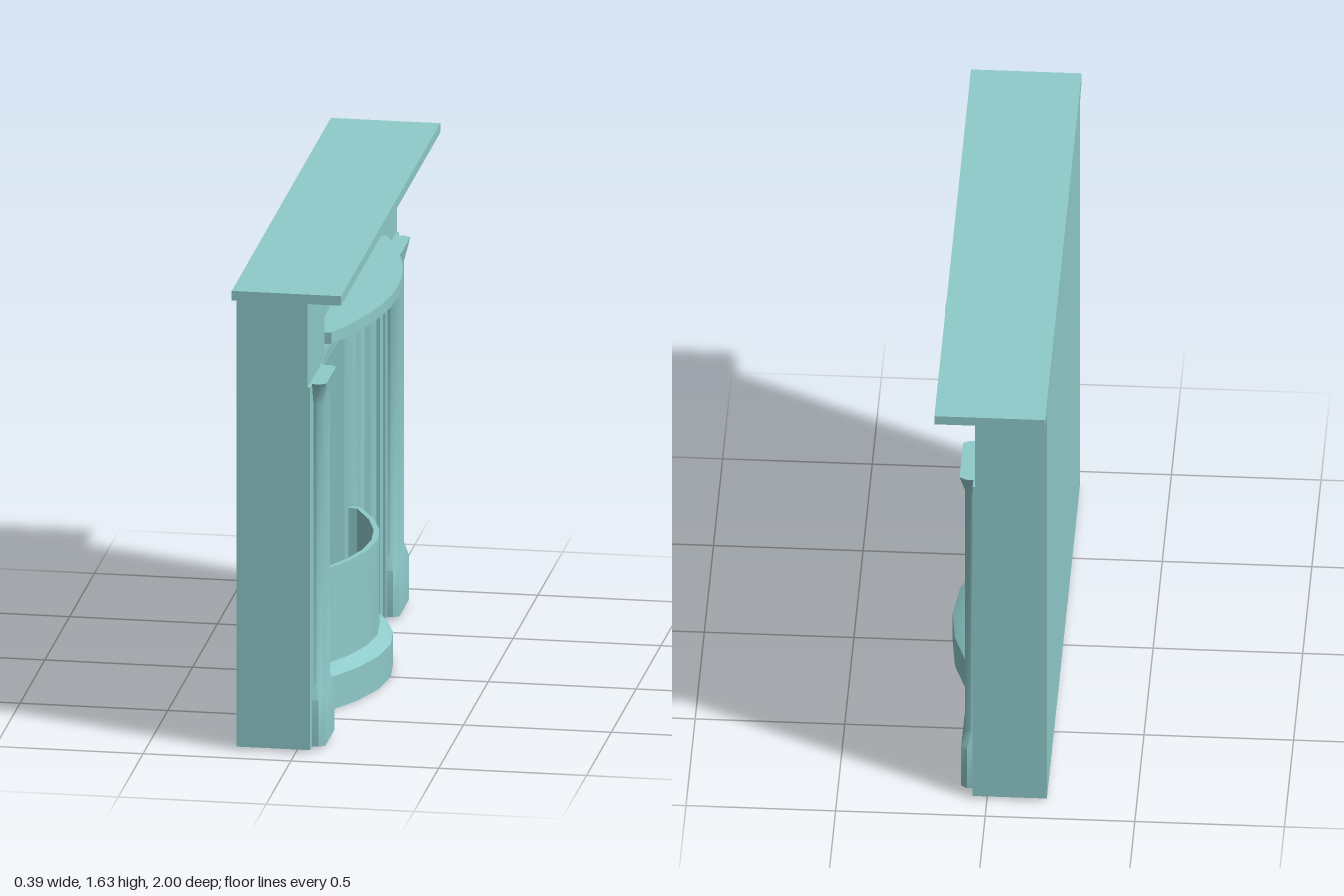
import * as THREE from 'three';
import { toCreasedNormals } from 'three/addons/utils/BufferGeometryUtils.js';

const material = new THREE.MeshStandardMaterial({ color: 0x8fcaca, side: THREE.DoubleSide });

function add(group, name, geometry) {
  const mesh = new THREE.Mesh(geometry, material);
  mesh.name = name;
  group.add(mesh);
  return mesh;
}

// Skin a stack of equally long point rows; closed rows are also capped.
function loft(rows, closed) {
  const pos = [];
  const tri = (a, b, c) => pos.push(...a, ...b, ...c);
  const n = rows[0].length;
  for (let r = 0; r < rows.length - 1; r++) {
    const a = rows[r], b = rows[r + 1];
    for (let i = 0; i < (closed ? n : n - 1); i++) {
      const j = (i + 1) % n;
      tri(a[i], a[j], b[j]);
      tri(a[i], b[j], b[i]);
    }
  }
  if (closed) {
    const bottom = rows[0], top = rows[rows.length - 1];
    for (let i = 1; i < n - 1; i++) {
      tri(bottom[0], bottom[i + 1], bottom[i]);
      tri(top[0], top[i], top[i + 1]);
    }
  }
  const g = new THREE.BufferGeometry();
  g.setAttribute('position', new THREE.Float32BufferAttribute(pos, 3));
  return toCreasedNormals(g, 0.6);
}

function box(x0, x1, y0, y1, z0, z1) {
  return new THREE.BoxGeometry(x1 - x0, y1 - y0, z1 - z0)
    .translate((x0 + x1) / 2, (y0 + y1) / 2, (z0 + z1) / 2);
}

// Mitred moulding round an arch: levels of [half width, top, depth], outside first.
function archFrame(levels, bottom) {
  return loft(levels.map(([u, top, z]) =>
    [[u, bottom, z], [u, top, z], [-u, top, z], [-u, bottom, z]]), false);
}

// Bowed row of points between -half and +half, as a parabola.
function bow(half, y, front, curve, segments) {
  return Array.from({ length: segments + 1 }, (_, i) => {
    const x = -half + (2 * half * i) / segments;
    return [x, y, front - curve * x * x];
  });
}

function pilaster() {
  // [height, half width, front depth]
  const sections = [
    [0.01, 0.108, 0.09], [0.17, 0.108, 0.09], [0.22, 0.084, 0.078],
    [1.2, 0.084, 0.078], [1.275, 0.112, 0.095],
  ];
  return loft(sections.map(([y, h, z]) => [
    [-h, y, z - 0.02], [-h + 0.014, y, z], [h - 0.014, y, z],
    [h, y, z - 0.02], [h, y, 0.03], [-h, y, 0.03],
  ]), true);
}

export function createModel() {
  const model = new THREE.Group();
  model.name = 'fireplace';
  const body = new THREE.Group();
  body.name = 'fireplaceBody';
  body.rotation.y = Math.PI / 2; // built facing +z, turned to face +x
  model.add(body);

  // Back and surround
  add(body, 'backWall', box(-0.9, 0.9, 0.01, 1.585, -0.2, -0.12));
  const outline = new THREE.Shape([
    [-0.9, 0.01], [-0.56, 0.01], [-0.56, 1.55], [0.56, 1.55],
    [0.56, 0.01], [0.9, 0.01], [0.9, 1.585], [-0.9, 1.585],
  ].map(([x, y]) => new THREE.Vector2(x, y)));
  add(body, 'surround', new THREE.ExtrudeGeometry(outline, { depth: 0.16, bevelEnabled: false })
    .translate(0, 0, -0.12));

  // Mantel slab with a sloping underside
  add(body, 'mantel', loft([[1.575, 0.9, 0.04], [1.597, 1, 0.17], [1.63, 1, 0.17]].map(([y, u, z]) =>
    [[-u, y, z], [u, y, z], [u, y, -0.2], [-u, y, -0.2]]), true));

  // Recessed frieze panel with a coved edge
  add(body, 'friezePanel', box(-0.56, 0.56, 1.28, 1.55, -0.12, 0.01));
  add(body, 'friezeCove', archFrame([
    [0.56, 1.55, 0.038], [0.552, 1.545, 0.022], [0.535, 1.53, 0.012], [0.525, 1.52, 0.01],
  ], 1.28));

  // Bowed shelf
  add(body, 'shelf', loft([1.325, 1.365].map((y) => [
    ...bow(0.56, y, 0.195, 0.42, 10), [0.56, y, 0], [-0.56, y, 0],
  ]), true));

  // Pilasters on their backing strips
  for (const side of [-1, 1]) {
    const name = side > 0 ? 'left' : 'right';
    const strip = side > 0 ? [0.62, 0.9] : [-0.9, -0.62];
    add(body, name + 'PilasterBacking', box(strip[0], strip[1], 0.01, 1.275, 0.03, 0.048));
    add(body, name + 'Pilaster', pilaster()).position.x = side * 0.748;
  }

  // Moulded insert, splayed cheeks and sloping hood of the firebox
  add(body, 'insertFrame', archFrame([
    [0.56, 1.285, 0.0], [0.56, 1.285, 0.025], [0.545, 1.27, 0.03], [0.5, 1.225, 0.02],
    [0.49, 1.21, 0.0], [0.47, 1.195, -0.01], [0.41, 1.16, -0.008],
    [0.385, 1.145, -0.013], [0.37, 1.13, -0.025], [0.355, 1.12, -0.045],
  ], 0.01));
  add(body, 'fireboxCheeksAndHood', archFrame([[0.355, 1.12, -0.045], [0.322, 0.95, -0.119]], 0.01));
  add(body, 'hearthBase', box(-0.56, 0.56, 0.01, 0.02, -0.12, -0.03));
  add(body, 'fireboxFloor', box(-0.35, 0.35, 0.02, 0.14, -0.12, -0.03));

  // Bowed fender and grate front, from the underside up and back down inside
  const back = -0.03;
  const row = (half, y, front, curve) => {
    const points = bow(half, y, front, curve, 6);
    return [[-half, y, back], ...points, [half, y, back]];
  };
  const flat = (r) => r.map(([x, y]) => [x, y, back]);
  const foot = row(0.43, 0, 0.17, 0.8);
  const floor = row(0.345, 0.14, 0.105, 0.9);
  add(body, 'grateAndFender', loft([
    flat(foot), foot, row(0.42, 0.115, 0.17, 0.8), row(0.4, 0.13, 0.15, 0.82),
    row(0.365, 0.145, 0.125, 0.9), row(0.365, 0.475, 0.125, 0.9),
    row(0.345, 0.475, 0.105, 0.9), floor, flat(floor),
  ], false));

  return model;
}
